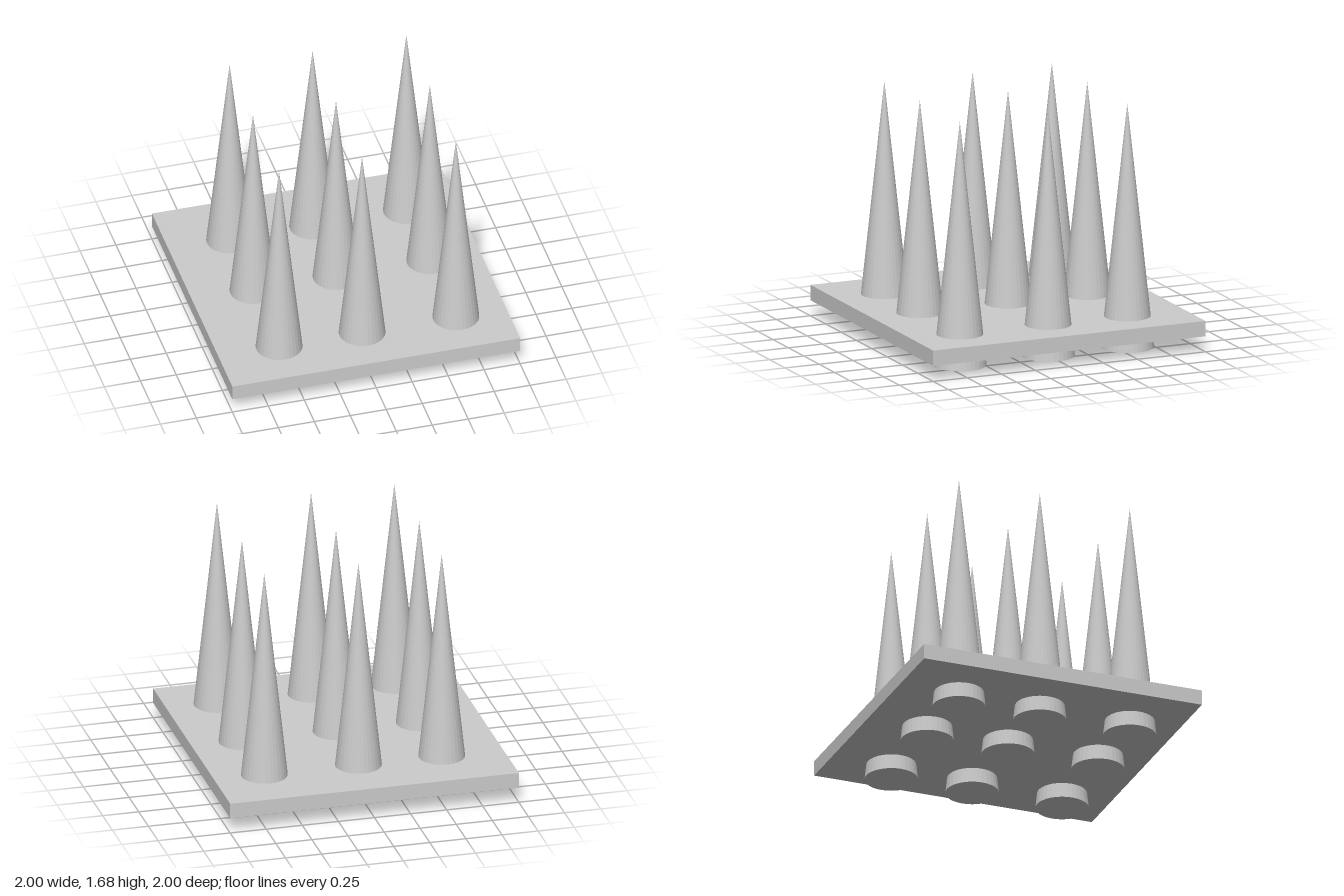
import * as THREE from 'three';

export function createModel() {
  const model = new THREE.Group();
  const material = new THREE.MeshStandardMaterial({ color: 0xcccccc, flatShading: true });

  // Square base plate, pierced by the spikes
  const bottom = 0.107, top = 0.213;
  const plate = new THREE.Mesh(new THREE.BoxGeometry(2, top - bottom, 2), material);
  plate.name = 'basePlate';
  plate.position.y = (bottom + top) / 2;
  model.add(plate);

  // Three by three grid of spikes, slightly uneven in spacing
  const spikes = new THREE.Group();
  spikes.name = 'spikes';
  const height = 1.68;
  const spikeGeometry = new THREE.ConeGeometry(0.18, height, 32).translate(0, height / 2, 0);
  for (const x of [-0.577, 0, 0.652]) {
    for (const z of [-0.582, 0, 0.648]) {
      const spike = new THREE.Mesh(spikeGeometry, material);
      spike.name = 'spike';
      spike.position.set(x, 0, z);
      spikes.add(spike);
    }
  }
  model.add(spikes);
  return model;
}
